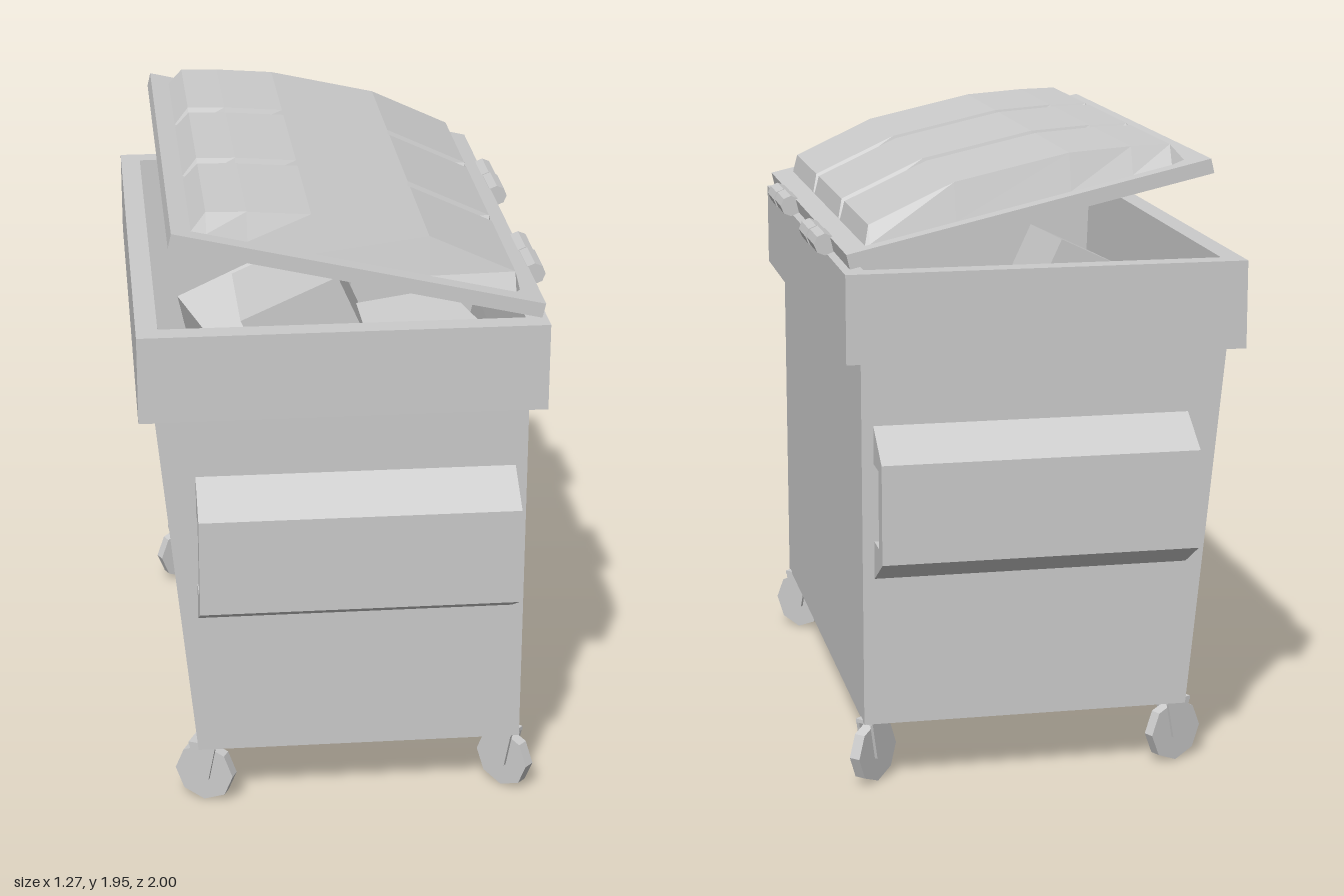
import * as THREE from 'three';

const material = new THREE.MeshStandardMaterial({ color: 0xcccccc, flatShading: true, side: THREE.DoubleSide });

function add(parent, name, geometry, x = 0, y = 0, z = 0) {
  const mesh = new THREE.Mesh(geometry, material);
  mesh.name = name;
  mesh.position.set(x, y, z);
  parent.add(mesh);
  return mesh;
}

// Flat-shaded skin through cross-sections with equal point counts
function loft(sections, closed) {
  const positions = [];
  const triangle = (a, b, c) => {
    if (a.distanceTo(b) < 1e-6 || b.distanceTo(c) < 1e-6 || c.distanceTo(a) < 1e-6) return;
    for (const p of [a, b, c]) positions.push(p.x, p.y, p.z);
  };
  for (let i = 0; i < sections.length - 1; i++) {
    const s = sections[i], t = sections[i + 1], n = s.length;
    for (let j = 0; j < (closed ? n : n - 1); j++) {
      const k = (j + 1) % n;
      triangle(s[j], s[k], t[k]);
      triangle(s[j], t[k], t[j]);
    }
  }
  const geometry = new THREE.BufferGeometry();
  geometry.setAttribute('position', new THREE.Float32BufferAttribute(positions, 3));
  geometry.computeVertexNormals();
  return geometry;
}

// Rectangular ring; height is a function of x so it can be tilted
function ring(x0, x1, z, height) {
  return [[x0, z], [x1, z], [x1, -z], [x0, -z]].map(([x, w]) => new THREE.Vector3(x, height(x), w));
}

function polygon(points) {
  return new THREE.Shape(points.map(([x, y]) => new THREE.Vector2(x, y)));
}

function extrude(points, depth) {
  return new THREE.ExtrudeGeometry(polygon(points), { depth, bevelEnabled: false }).translate(0, 0, -depth / 2);
}

// Hollow container: outside, overhanging rim, then inside down to the floor
function buildBody(parent) {
  const rows = [
    [0.03, 0.03, 0.2, 0], [-0.475, 0.54, 0.2, 0.855], [-0.587, 0.54, 1.335, 0.855],
    [-0.635, 0.59, 1.335, 0.9], [-0.635, 0.59, 1.605, 0.9],
    [-0.57, 0.525, 1.605, 0.83], [-0.56, 0.52, 1.335, 0.83],
    [-0.45, 0.52, 0.24, 0.83], [0.03, 0.03, 0.24, 0],
  ];
  add(parent, 'body', loft(rows.map(([x0, x1, y, z]) => ring(x0, x1, z, () => y)), true));
}

// Lifted lid: tilted frame with three raised hollow panels
function buildLid(parent) {
  const lid = new THREE.Group();
  lid.name = 'lid';
  parent.add(lid);
  const top = x => 1.79 - 0.229 * x;
  const bottom = x => top(x) - 0.046;
  const outerBottom = ring(-0.535, 0.57, 0.86, bottom);
  add(lid, 'lidFrame', loft([
    outerBottom, ring(-0.525, 0.58, 0.86, top), ring(-0.465, 0.515, 0.8, top),
    ring(-0.47, 0.51, 0.8, bottom), outerBottom,
  ], true));

  const profile = [[-0.465, top(-0.465)], [-0.42, 1.945], [-0.3, 1.942], [-0.11, 1.928],
    [0.24, 1.85], [0.5, 1.73], [0.515, top(0.515)]];
  for (const [z0, z1] of [[-0.8, -0.28], [-0.28, 0.273], [0.273, 0.8]]) {
    const raised = z => profile.map(([x, y]) => new THREE.Vector3(x, y, z));
    const flat = z => profile.map(([x]) => new THREE.Vector3(x, top(x), z));
    add(lid, 'lidPanel', loft([flat(z1), raised(z1 - 0.028), raised(z0 + 0.028), flat(z0)], false));
  }
}

// Paired hinge barrels along the low edge of the lid
function buildHinges(parent) {
  for (const z of [-0.385, 0.385]) {
    for (const side of [-1, 1]) {
      const barrel = new THREE.CylinderGeometry(0.034, 0.034, 0.152, 8).rotateX(Math.PI / 2);
      add(parent, 'hingeBarrel', barrel, side > 0 ? 0.6 : 0.596, 1.635, z + side * 0.077);
      add(parent, 'hingeLeaf', new THREE.BoxGeometry(0.04, 0.03, 0.14), 0.57, 1.625, z + side * 0.077);
    }
  }
}

// Lifting pockets on both ends, open from side to side
function buildPockets(parent) {
  const section = [[0.85, 1.14], [1, 1.05], [1, 0.745], [0.85, 0.66],
    [0.85, 0.78], [0.94, 0.78], [0.94, 1.02], [0.85, 1.02]];
  for (const side of [-1, 1]) {
    add(parent, 'liftPocket', extrude(section, 0.972), 0.018).rotation.y = side * Math.PI / 2;
  }
}

// Swivelled casters with a tapered fork
function buildCasters(parent) {
  const plate = [[-0.045, 0.205], [0.045, 0.205], [0.02, 0.08], [-0.02, 0.08]];
  for (const [x, angle] of [[-0.45, 25], [0.505, 45]]) {
    for (const side of [-1, 1]) {
      const caster = new THREE.Group();
      caster.name = 'caster';
      caster.position.set(x, 0, side * 0.8);
      caster.rotation.y = -side * THREE.MathUtils.degToRad(angle);
      parent.add(caster);
      const wheel = new THREE.CylinderGeometry(0.097, 0.097, 0.036, 8).rotateX(Math.PI / 2);
      add(caster, 'wheel', wheel, 0, 0.097, 0);
      for (const s of [-1, 1]) add(caster, 'forkPlate', extrude(plate, 0.01), 0, 0, s * 0.026);
      add(caster, 'forkTop', new THREE.BoxGeometry(0.09, 0.012, 0.062), 0, 0.2, 0);
    }
  }
}

// Tumbled boxes inside: size, centre, rotation
function buildRubbish(parent) {
  const boxes = [
    [[0.32, 0.4, 0.42], [-0.09, 1.46, 0.5], [0, 0, 0.42]],
    [[0.24, 0.36, 0.3], [-0.12, 1.44, -0.55], [0, 0.1, 0.45]],
    [[0.4, 0.5, 0.7], [0.24, 1.4, -0.1], [0, 0, -0.23]],
    [[0.36, 0.4, 0.4], [-0.2, 1.2, 0], [0.3, 0.4, 0.2]],
    [[0.4, 0.6, 0.4], [0.22, 1.2, 0.55], [0.1, 0.3, 0]],
    [[0.4, 0.6, 0.4], [0.22, 1.2, -0.56], [-0.1, 0.2, 0]],
    [[0.9, 0.75, 1.6], [0.04, 0.63, 0], [0, 0, 0]],
  ];
  for (const [size, centre, turn] of boxes) {
    add(parent, 'rubbishBox', new THREE.BoxGeometry(...size), ...centre).rotation.set(...turn);
  }
}

export function createModel() {
  const model = new THREE.Group();
  model.name = 'wasteContainer';
  buildBody(model);
  buildLid(model);
  buildHinges(model);
  buildPockets(model);
  buildCasters(model);
  buildRubbish(model);
  return model;
}
